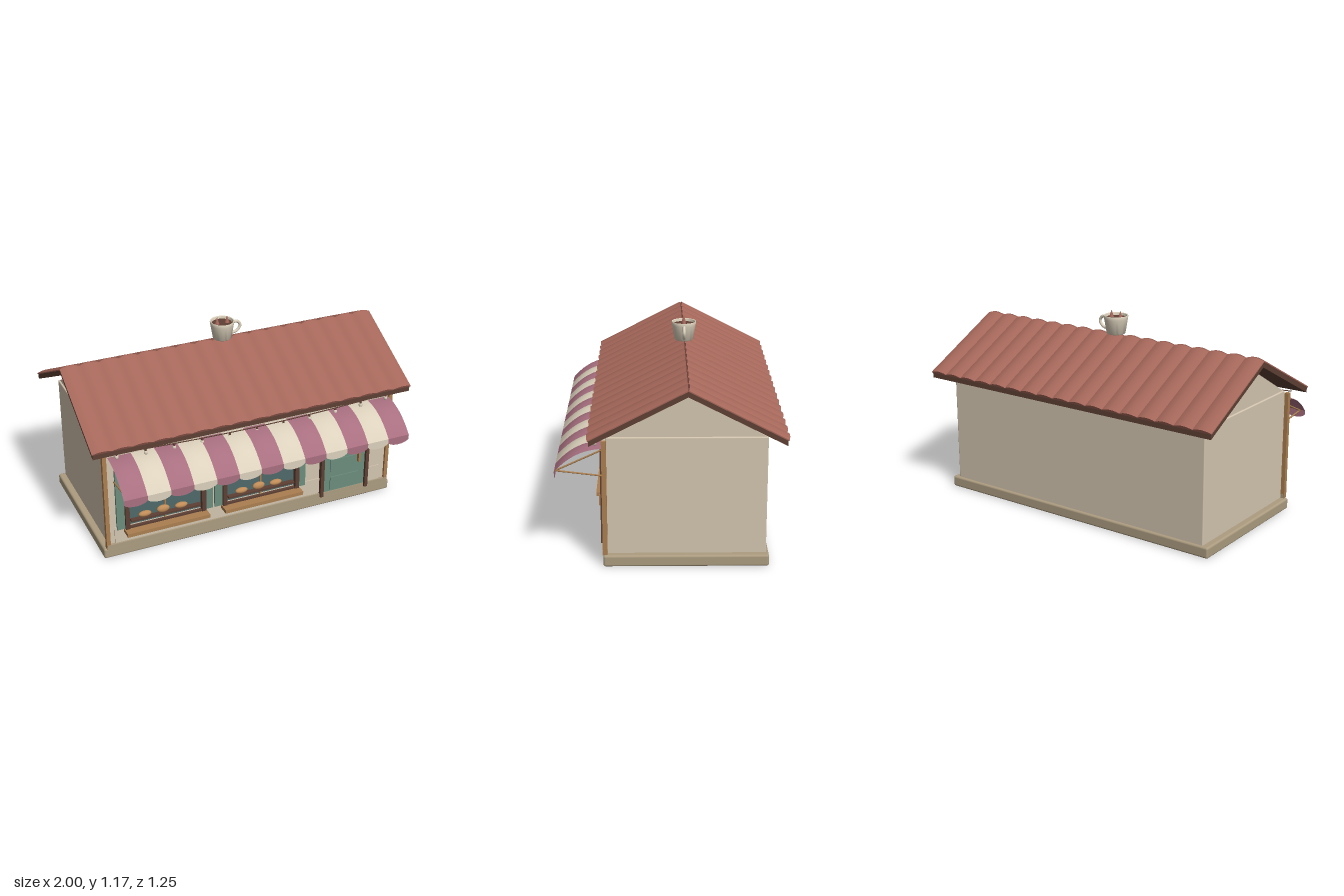
import * as THREE from 'three';
import { toCreasedNormals } from 'three/addons/utils/BufferGeometryUtils.js';
import { RoundedBoxGeometry } from 'three/addons/geometries/RoundedBoxGeometry.js';

const mat = (name, color, side = THREE.FrontSide) => {
  const m = new THREE.MeshStandardMaterial({ color, side });
  m.name = name;
  return m;
};

export function createModel() {
  const M = {
    wall: mat('plaster', 0xd3c5af),
    stone: mat('stone', 0xac9c80),
    tile: mat('terracotta', 0xa5675a),
    dark: mat('darkWood', 0x5e4034),
    oak: mat('oak', 0xab7f50),
    teal: mat('tealPaint', 0x6c8d7e),
    glass: mat('glass', 0x4f6a6a),
    mauve: mat('mauveCloth', 0xa86f80, THREE.DoubleSide),
    cream: mat('cream', 0xdcd1bc, THREE.DoubleSide),
    bread: mat('bread', 0xc08c58),
  };
  const root = new THREE.Group();
  root.name = 'cafe';

  const add = (name, geo, material, x = 0, y = 0, z = 0, parent = root) => {
    const m = new THREE.Mesh(geo, material);
    m.name = name;
    m.position.set(x, y, z);
    parent.add(m);
    return m;
  };
  // Box given by its limits
  const box = (name, material, x0, x1, y0, y1, z0, z1, parent = root) =>
    add(name, new THREE.BoxGeometry(x1 - x0, y1 - y0, z1 - z0), material,
      (x0 + x1) / 2, (y0 + y1) / 2, (z0 + z1) / 2, parent);
  const rod = (name, material, a, b, r) =>
    add(name, new THREE.TubeGeometry(new THREE.LineCurve3(a, b), 1, r, 8), material);
  const V = (x, y, z) => new THREE.Vector3(x, y, z);
  // Extrude a (z, y) outline across the width
  const across = (name, material, pts, width) => {
    const shape = new THREE.Shape(pts.map(p => new THREE.Vector2(...p)));
    const geo = new THREE.ExtrudeGeometry(shape, { depth: width, bevelEnabled: false });
    geo.translate(0, 0, -width / 2).rotateY(-Math.PI / 2);
    return add(name, geo, material);
  };

  // Base, walls and gables
  add('base', new RoundedBoxGeometry(1.88, 0.066, 0.905, 3, 0.012), M.stone, 0, 0.033, -0.0875);
  add('walls', new RoundedBoxGeometry(1.8, 0.685, 0.87, 2, 0.006), M.wall, 0, 0.3925, -0.09);
  across('gable', M.wall, [[-0.52, 0.733], [0.34, 0.733], [-0.09, 0.976]], 1.78);

  // Roof slab
  const ridgeZ = -0.093, run = 0.525, slope = 0.514;
  const top = 1.02, under = 0.988;
  across('roofSlab', M.dark, [
    [ridgeZ - run, under - run * slope], [ridgeZ, under], [ridgeZ + run, under - run * slope],
    [ridgeZ + run, top - run * slope], [ridgeZ, top], [ridgeZ - run, top - run * slope],
  ], 1.99);

  // Curved tile columns on both slopes
  const columns = 17, tw = 2 / columns;
  const tileShape = new THREE.Shape();
  tileShape.moveTo(-tw / 2, 0);
  tileShape.lineTo(tw / 2, 0);
  tileShape.lineTo(tw / 2, 0.006);
  tileShape.quadraticCurveTo(0, 0.032, -tw / 2, 0.006);
  const tileGeo = toCreasedNormals(new THREE.ExtrudeGeometry(tileShape,
    { depth: run * Math.hypot(1, slope) + 0.004, bevelEnabled: false, curveSegments: 8 }), 0.6);
  for (const turn of [0, Math.PI]) {
    const side = new THREE.Group();
    side.name = turn ? 'backTiles' : 'frontTiles';
    side.position.set(0, top, ridgeZ);
    side.rotation.y = turn;
    root.add(side);
    for (let i = 0; i < columns; i++)
      add('roofTile', tileGeo, M.tile, -1 + tw * (i + 0.5), 0, 0, side).rotation.x = Math.atan(slope);
  }

  // Shop front: panel, skirting, wainscot and corner posts
  box('facadePanel', M.wall, -0.9, 0.9, 0.09, 0.72, 0.34, 0.354);
  box('skirting', M.stone, -0.92, 0.92, 0.06, 0.09, 0.34, 0.37);
  box('wainscot', M.wall, -0.87, 0.45, 0.09, 0.195, 0.35, 0.36);
  box('wainscot', M.wall, 0.78, 0.865, 0.09, 0.19, 0.35, 0.36);
  for (const s of [-1, 1])
    box('cornerPost', M.oak, s * 0.912 - 0.012, s * 0.912 + 0.012, 0.066, 0.72, 0.342, 0.368);

  // Display windows with shutters, sill and bread
  const loaf = new THREE.SphereGeometry(1, 20, 12);
  for (const cx of [-0.56, 0.048]) {
    const w = new THREE.Group();
    w.name = 'displayWindow';
    w.position.x = cx;
    root.add(w);
    box('windowGlass', M.glass, -0.235, 0.235, 0.18, 0.61, 0.35, 0.358, w);
    for (const s of [-1, 1]) {
      box('windowJamb', M.dark, s * 0.236 - 0.013, s * 0.236 + 0.013, 0.18, 0.61, 0.35, 0.385, w);
      box('shutter', M.teal, s * 0.273 - 0.024, s * 0.273 + 0.024, 0.18, 0.61, 0.35, 0.37, w);
    }
    box('windowHead', M.dark, -0.249, 0.249, 0.59, 0.615, 0.35, 0.385, w);
    box('windowFoot', M.dark, -0.235, 0.235, 0.178, 0.19, 0.35, 0.378, w);
    box('breadShelf', M.dark, -0.215, 0.215, 0.222, 0.234, 0.355, 0.386, w);
    box('muntin', M.oak, -0.005, 0.005, 0.19, 0.59, 0.352, 0.367, w);
    box('muntin', M.oak, -0.225, 0.225, 0.455, 0.465, 0.352, 0.366, w);
    box('sill', M.oak, -0.255, 0.255, 0.156, 0.179, 0.345, 0.43, w);
    for (const i of [-1, 0, 1])
      add('loaf', loaf, M.bread, -0.015 + i * 0.112, i ? 0.252 : 0.257, 0.37, w)
        .scale.set(0.039, i ? 0.018 : 0.024, 0.018);
  }

  // Door
  box('door', M.teal, 0.47, 0.755, 0.09, 0.61, 0.35, 0.366);
  for (const x of [0.459, 0.766])
    box('doorJamb', M.dark, x - 0.011, x + 0.011, 0.068, 0.61, 0.35, 0.383);
  box('doorHead', M.dark, 0.448, 0.777, 0.595, 0.615, 0.35, 0.383);
  box('doorGlassFrame', M.dark, 0.52, 0.712, 0.37, 0.565, 0.36, 0.369);
  box('doorGlass', M.glass, 0.527, 0.705, 0.377, 0.558, 0.365, 0.372);
  box('doorPanel', M.teal, 0.518, 0.712, 0.225, 0.312, 0.36, 0.372);
  box('doorPanel', M.teal, 0.518, 0.712, 0.102, 0.19, 0.36, 0.372);
  box('doorHandle', M.oak, 0.698, 0.711, 0.268, 0.33, 0.362, 0.393);

  // Striped awning with scalloped valance
  const stripes = 13, sw = 1.784 / stripes;
  const arc = new THREE.QuadraticBezierCurve(new THREE.Vector2(0.362, 0.669),
    new THREE.Vector2(0.515, 0.666), new THREE.Vector2(0.624, 0.537));
  const cloth = new THREE.PlaneGeometry(sw, 1, 8, 12);
  const pos = cloth.attributes.position;
  for (let i = 0; i < pos.count; i++) {
    const t = 0.5 - pos.getY(i), u = pos.getX(i) / (sw / 2);
    const p = arc.getPoint(t);
    const bulge = 0.008 * (1 - u * u) * 4 * t * (1 - t);
    pos.setXYZ(i, pos.getX(i), p.y + bulge, p.x + bulge * 0.5);
  }
  cloth.computeVertexNormals();
  const flap = new THREE.Shape();
  flap.moveTo(-sw / 2, 0.54);
  flap.lineTo(-sw / 2, 0.512);
  flap.bezierCurveTo(-sw / 3, 0.482, sw / 3, 0.482, sw / 2, 0.512);
  flap.lineTo(sw / 2, 0.54);
  const flapGeo = new THREE.ShapeGeometry(flap, 10);
  for (let i = 0; i < stripes; i++) {
    const x = (i - (stripes - 1) / 2) * sw, m = i % 2 ? M.cream : M.mauve;
    add('awningStripe', cloth, m, x);
    add('awningScallop', flapGeo, m, x, 0, 0.624);
  }
  for (const s of [-1, 1])
    for (const y of [0.655, 0.503])
      rod('awningArm', M.oak, V(s * 0.86, y, 0.36), V(s * 0.86, 0.535, 0.62), 0.005);

  // String of lights under the eave
  const wireY = x => 0.684 + 0.04 * x * x;
  const wire = [];
  for (let i = -6; i <= 6; i++) wire.push(V(i * 0.152, wireY(i * 0.152), 0.405));
  add('lightWire', new THREE.TubeGeometry(new THREE.CatmullRomCurve3(wire), 48, 0.003, 6), M.dark);
  const bulb = new THREE.SphereGeometry(0.011, 12, 10).scale(1, 1.35, 1);
  const cap = new THREE.CylinderGeometry(0.005, 0.007, 0.012, 10);
  for (let i = -5; i <= 5; i++) {
    const x = i * 0.17;
    add('bulbCap', cap, M.dark, x, wireY(x) - 0.006, 0.405);
    add('bulb', bulb, M.cream, x, wireY(x) - 0.024, 0.405);
  }

  // Rooftop cup
  const cup = new THREE.Group();
  cup.name = 'cup';
  cup.position.set(0, 1.033, -0.092);
  root.add(cup);
  const profile = [[0, 0], [0.05, 0], [0.056, 0.006], [0.07, 0.09], [0.073, 0.108], [0.071, 0.112],
    [0.066, 0.11], [0.062, 0.09], [0.05, 0.012], [0, 0.012]].map(p => new THREE.Vector2(...p));
  add('cupBody', toCreasedNormals(new THREE.LatheGeometry(profile, 32), 0.7), M.cream, 0, 0, 0, cup);
  add('coffee', new THREE.CylinderGeometry(0.063, 0.062, 0.006, 32), M.dark, 0, 0.093, 0, cup);
  const handle = new THREE.CatmullRomCurve3([V(0.062, 0.088, 0), V(0.095, 0.092, 0),
    V(0.116, 0.066, 0), V(0.098, 0.034, 0), V(0.058, 0.022, 0)]);
  add('cupHandle', new THREE.TubeGeometry(handle, 24, 0.009, 10), M.cream, 0, 0, 0, cup);
  for (const s of [-1, 1])
    add('steamPeak', new THREE.ConeGeometry(0.016, 0.05, 12), M.tile, s * 0.032, 0.115, 0, cup);

  return root;
}
